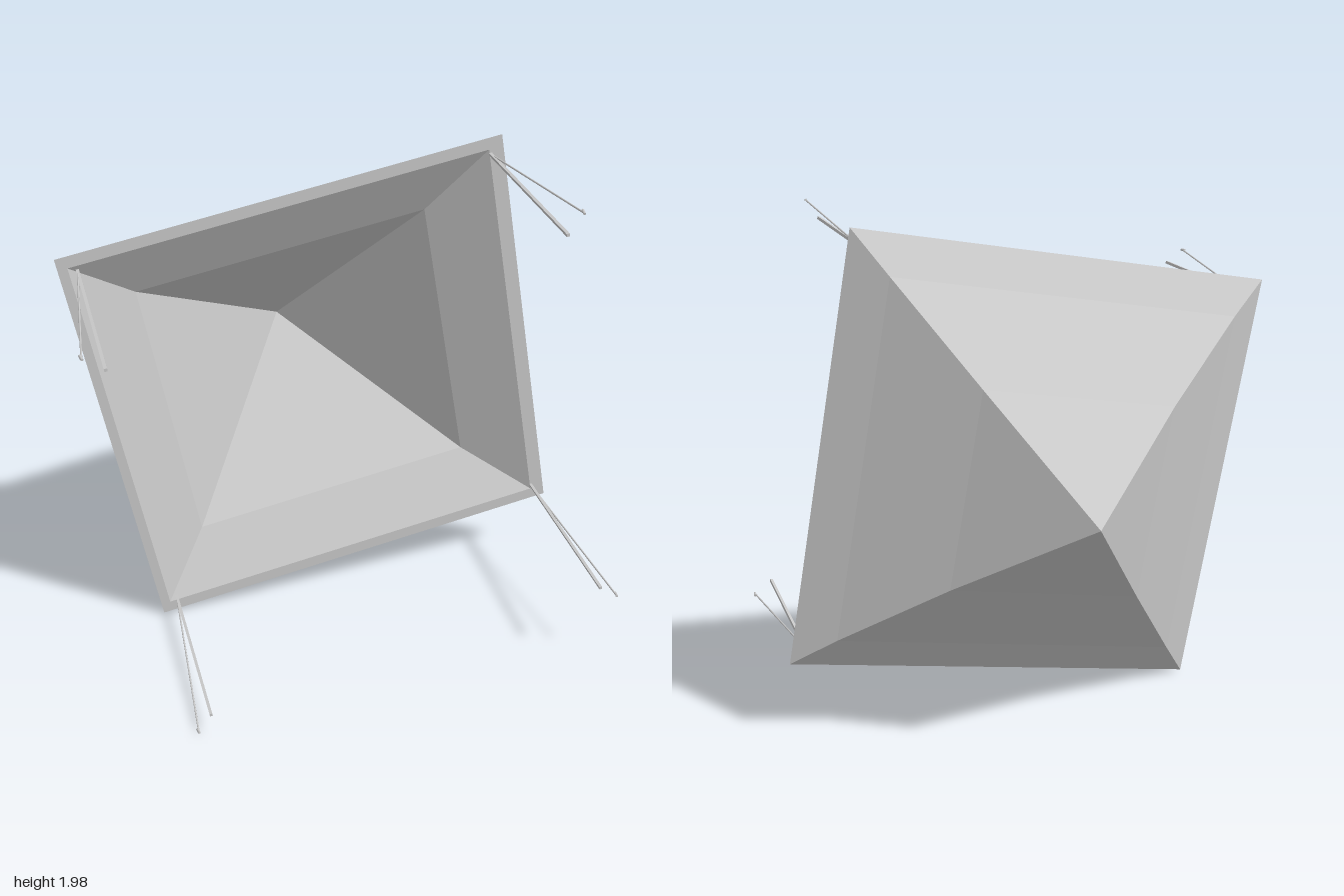
import * as THREE from 'three';

const lightGrey = new THREE.MeshStandardMaterial({ color: 0xcccccc });
lightGrey.name = 'lightGrey';

// Corner signs, counter-clockwise
const corners = [[1, 1], [-1, 1], [-1, -1], [1, -1]];

// Four-sided shell through square rings [half width, z, x offset, y offset]
function squareShell(rings) {
  const pos = [];
  const at = ([h, z, ox = 0, oy = 0], k) => {
    const [sx, sy] = corners[k % 4];
    return [sx * h + ox, sy * h + oy, z];
  };
  for (let i = 0; i < rings.length - 1; i++) {
    const r0 = rings[i], r1 = rings[i + 1];
    for (let k = 0; k < 4; k++) {
      const a = at(r0, k), b = at(r1, k), c = at(r1, k + 1), d = at(r0, k + 1);
      if (r1[0] > 0) pos.push(...a, ...c, ...b);
      if (r0[0] > 0) pos.push(...a, ...d, ...c);
    }
  }
  const geo = new THREE.BufferGeometry();
  geo.setAttribute('position', new THREE.Float32BufferAttribute(pos, 3));
  geo.computeVertexNormals();
  return geo;
}

// Thin round rod between two points
function rod(name, from, to, radius) {
  const dir = to.clone().sub(from);
  const mesh = new THREE.Mesh(new THREE.CylinderGeometry(radius, radius, dir.length(), 6), lightGrey);
  mesh.position.copy(from).addScaledVector(dir, 0.5);
  mesh.quaternion.setFromUnitVectors(new THREE.Vector3(0, 1, 0), dir.normalize());
  mesh.name = name;
  return mesh;
}

export function createModel() {
  const model = new THREE.Group();
  model.name = 'canopyTent';
  const tent = new THREE.Group();
  tent.name = 'tent';
  tent.position.set(0, 0.997, 0);
  tent.rotation.z = 0.178;
  model.add(tent);

  // Roof: outer skin, flat rim, then inner lining
  const h = 0.848;
  const roof = new THREE.Mesh(squareShell([
    [0, -0.73], [h * 0.45, -0.365], [h * 0.83, -0.1], [h, 0],
    [h * 0.945, 0, -0.01, 0],
    [h * 0.675, -0.13, -0.025, -0.005],
    [0, -0.68, -0.025, -0.005],
  ]), lightGrey);
  roof.name = 'canopy';
  roof.position.x = -0.008;
  tent.add(roof);

  // Pole, guy rope and peg at every corner
  for (const [sx, sy] of corners) {
    const px = sx * 0.787, py = sy * 0.782;
    const pole = new THREE.Mesh(new THREE.BoxGeometry(0.011, 0.011, 0.725), lightGrey);
    pole.position.set(px, py, 0.362);
    pole.name = 'pole';
    tent.add(pole);

    const top = new THREE.Vector3(px, py, 0);
    const end = new THREE.Vector3(sx * 0.849, sy * 0.846, 0.722);
    tent.add(rod('guyRope', top, end, 0.0035));

    const hook = new THREE.Vector3(sx * 0.852, sy * 0.848, 0.705);
    tent.add(rod('peg', hook, new THREE.Vector3(sx * 0.848, sy * 0.845, 0.73), 0.005));
  }
  return model;
}
